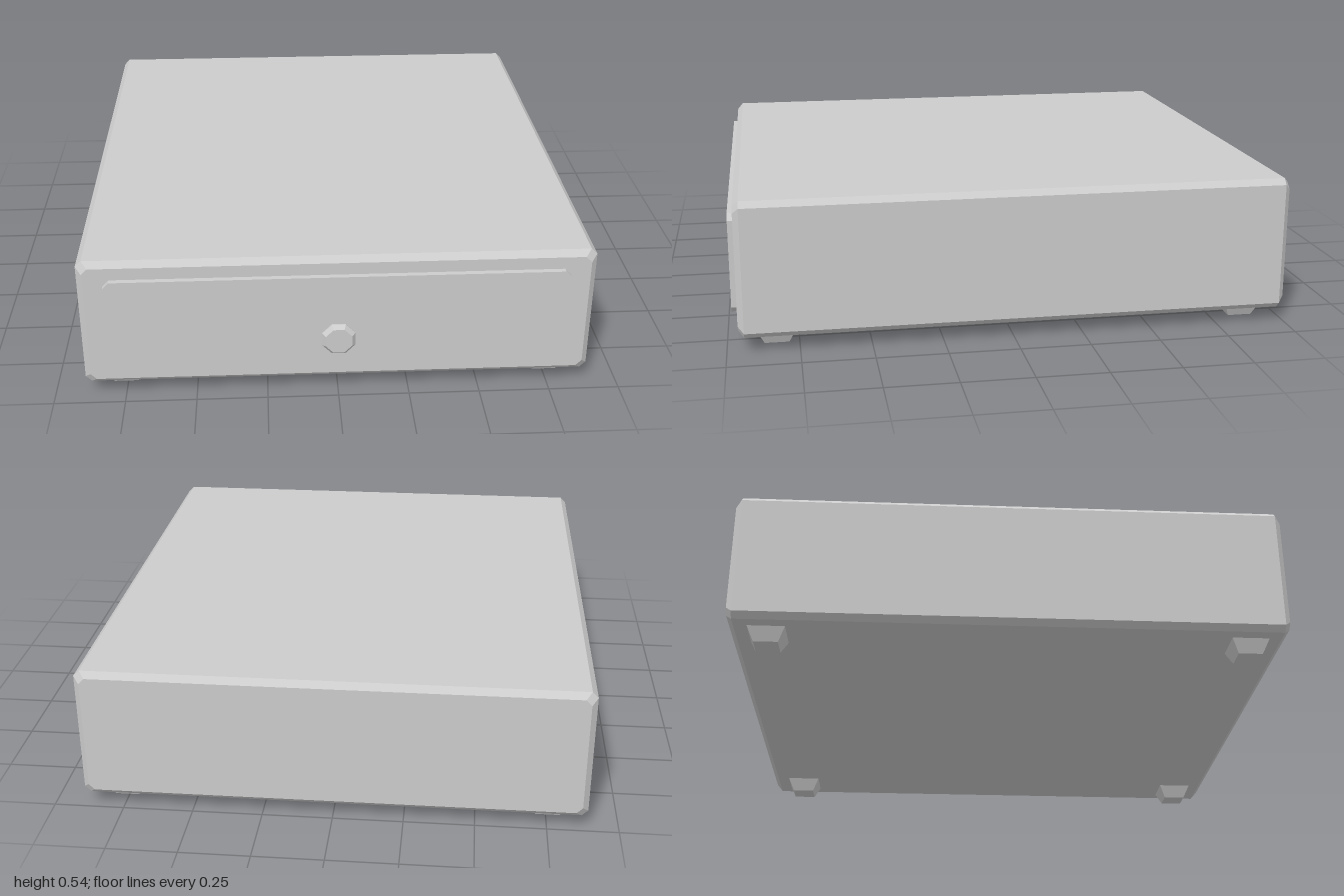
import * as THREE from 'three';
import { ConvexGeometry } from 'three/addons/geometries/ConvexGeometry.js';

const material = new THREE.MeshStandardMaterial({ color: 0xcccccc, flatShading: true });

// Rectangle outline with its corners cut at 45 degrees, placed at depth z
function cutRect(w, h, cut, z) {
  const points = [];
  for (const sx of [-1, 1]) {
    for (const sy of [-1, 1]) {
      points.push(new THREE.Vector3(sx * w, sy * (h - cut), z));
      points.push(new THREE.Vector3(sx * (w - cut), sy * h, z));
    }
  }
  return points;
}

// Solid spanned by outlines [halfWidth, halfHeight, cornerCut, z]
function solid(name, outlines, y) {
  const points = outlines.flatMap((o) => cutRect(...o));
  const mesh = new THREE.Mesh(new ConvexGeometry(points), material);
  mesh.name = name;
  mesh.position.y = y;
  return mesh;
}

export function createModel() {
  const group = new THREE.Group();
  group.name = 'drawerBox';

  // Case with chamfered edges
  const w = 0.89, h = 0.2425, b = 0.021;
  group.add(solid('case', [
    [w - b, h - b, b, -1],
    [w, h, b, -1 + b],
    [w, h, b, 0.96 - b],
    [w - b, h - b, b, 0.96],
  ], 0.2925));

  // Raised drawer front
  group.add(solid('drawerFront', [
    [0.8, 0.177, 0.022, 0.95],
    [0.8, 0.177, 0.022, 0.98],
  ], 0.293));

  // Octagonal tapered knob
  group.add(solid('knob', [
    [0.058, 0.058, 0.034, 0.975],
    [0.058, 0.058, 0.034, 0.985],
    [0.046, 0.046, 0.027, 1],
  ], 0.226));

  // Four tapered square feet
  const footGeometry = new THREE.CylinderGeometry(0.066 * Math.SQRT2, 0.043 * Math.SQRT2, 0.05, 4);
  footGeometry.rotateY(Math.PI / 4);
  for (const [zName, z] of [['front', 0.829], ['back', -0.866]]) {
    for (const [xName, x] of [['Left', 0.757], ['Right', -0.757]]) {
      const foot = new THREE.Mesh(footGeometry, material);
      foot.name = `${zName}${xName}Foot`;
      foot.position.set(x, 0.025, z);
      group.add(foot);
    }
  }
  return group;
}
